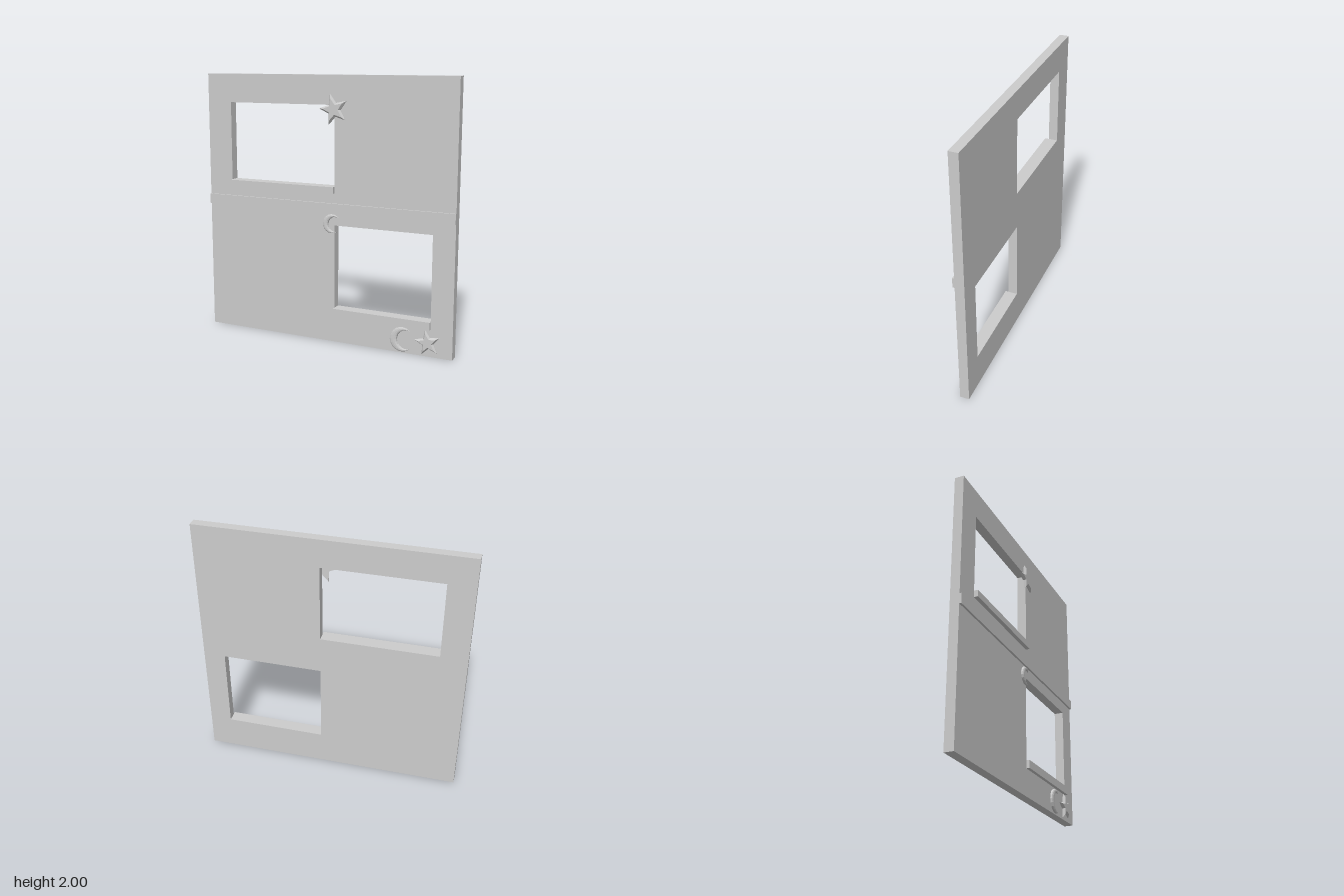
import * as THREE from 'three';

const material = new THREE.MeshStandardMaterial({ color: 0xcccccc, flatShading: true });
const FRONT = 0.02; // front face of the wall
const BACK = -0.05;

function add(group, name, geometry) {
  const mesh = new THREE.Mesh(geometry, material);
  mesh.name = name;
  group.add(mesh);
  return mesh;
}

// Box given by its limits
function slab(group, name, x0, x1, y0, y1, z0, z1) {
  add(group, name, new THREE.BoxGeometry(x1 - x0, y1 - y0, z1 - z0))
    .position.set((x0 + x1) / 2, (y0 + y1) / 2, (z0 + z1) / 2);
}

function rectangle(PathType, x0, x1, y0, y1) {
  return new PathType([[x0, y0], [x1, y0], [x1, y1], [x0, y1]]
    .map(([x, y]) => new THREE.Vector2(x, y)));
}

// Skin a list of equal rings; each ring runs counter-clockwise seen from the next one
function loft(rings) {
  const n = rings[0].length, index = [];
  for (let i = 0; i < rings.length - 1; i++) {
    for (let j = 0; j < n; j++) {
      const a = i * n + j, b = i * n + (j + 1) % n;
      index.push(a, b, b + n, a, b + n, a + n);
    }
  }
  const geometry = new THREE.BufferGeometry();
  geometry.setAttribute('position', new THREE.Float32BufferAttribute(rings.flat(2), 3));
  geometry.setIndex(index);
  geometry.computeVertexNormals();
  return geometry;
}

// Five-pointed star: upright rim, sloped bevel, flat top
function star(radius, turn) {
  const ring = (scale, z) => Array.from({ length: 10 }, (_, i) => {
    const r = radius * scale * (i % 2 ? 0.44 : 1), a = turn + i * Math.PI / 5;
    return [r * Math.cos(a), r * Math.sin(a), z];
  });
  return loft([ring(0, 0), ring(1, 0), ring(1, 0.006), ring(0.72, 0.022), ring(0, 0.022)]);
}

// Crescent open towards +x, with a domed front and flat back
function crescent(radius, depth) {
  const steps = 14, sides = 6, rings = [];
  const tip = 0.82, innerX = 0.4 * radius; // tip angle and centre of the inner arc
  const tx = radius * Math.cos(tip) - innerX, ty = radius * Math.sin(tip);
  const innerR = Math.hypot(tx, ty), innerTip = Math.atan2(ty, tx);
  for (let i = 0; i <= steps; i++) {
    const t = i / steps;
    const a = tip + t * 2 * (Math.PI - tip);
    const b = innerTip + t * 2 * (Math.PI - innerTip);
    const outer = [radius * Math.cos(a), radius * Math.sin(a)];
    const inner = [innerX + innerR * Math.cos(b), innerR * Math.sin(b)];
    const height = depth * Math.pow(Math.sin(Math.PI * t), 0.45);
    rings.push(Array.from({ length: sides + 1 }, (_, j) => {
      const c = Math.PI * j / sides, k = (1 - Math.cos(c)) / 2;
      return [
        outer[0] + (inner[0] - outer[0]) * k,
        outer[1] + (inner[1] - outer[1]) * k,
        height * Math.sqrt(Math.sin(c) + 1e-9),
      ];
    }));
  }
  return loft(rings.reverse());
}

export function createModel() {
  const group = new THREE.Group();

  // Window openings with the sill below each: x0, x1, y0, y1, sill bottom, sill front
  const windows = [
    { name: 'upper', box: [-0.8, 0.075, 1.19, 1.785], sillBottom: 1.14, sillFront: 0.05 },
    { name: 'lower', box: [0.075, 0.835, 0.265, 0.9], sillBottom: 0.205, sillFront: 0.045 },
  ];

  // Wall with both openings
  const wall = rectangle(THREE.Shape, -1, 1, 0, 2);
  wall.holes = windows.map(w => rectangle(THREE.Path, ...w.box));
  add(group, 'wall', new THREE.ExtrudeGeometry(wall, { depth: FRONT - BACK, bevelEnabled: false }))
    .position.z = BACK;

  for (const { name, box: [x0, x1, y0], sillBottom, sillFront } of windows) {
    slab(group, name + 'WindowSill', x0, x1, sillBottom, y0, FRONT, sillFront);
  }

  // Trim between the storeys
  slab(group, 'floorBand', -1, 1, 0.99, 1.065, FRONT, 0.035);

  // Stars and moons on the front
  const deg = Math.PI / 180;
  add(group, 'upperStar', star(0.118, 105 * deg)).position.set(0.07, 1.752, FRONT - 0.001);
  add(group, 'lowerStar', star(0.1, 101 * deg)).position.set(0.815, 0.105, FRONT - 0.001);

  const smallMoon = add(group, 'smallMoon', crescent(0.072, 0.02));
  smallMoon.position.set(0.055, 0.912, FRONT - 0.001);
  smallMoon.rotation.z = -8 * deg;
  add(group, 'largeMoon', crescent(0.093, 0.02)).position.set(0.618, 0.102, FRONT - 0.001);

  // Flat backs where ornaments overhang an opening
  for (const name of ['smallMoon', 'largeMoon']) {
    const moon = group.getObjectByName(name);
    moon.material = material.clone();
    moon.material.side = THREE.DoubleSide;
  }
  return group;
}
